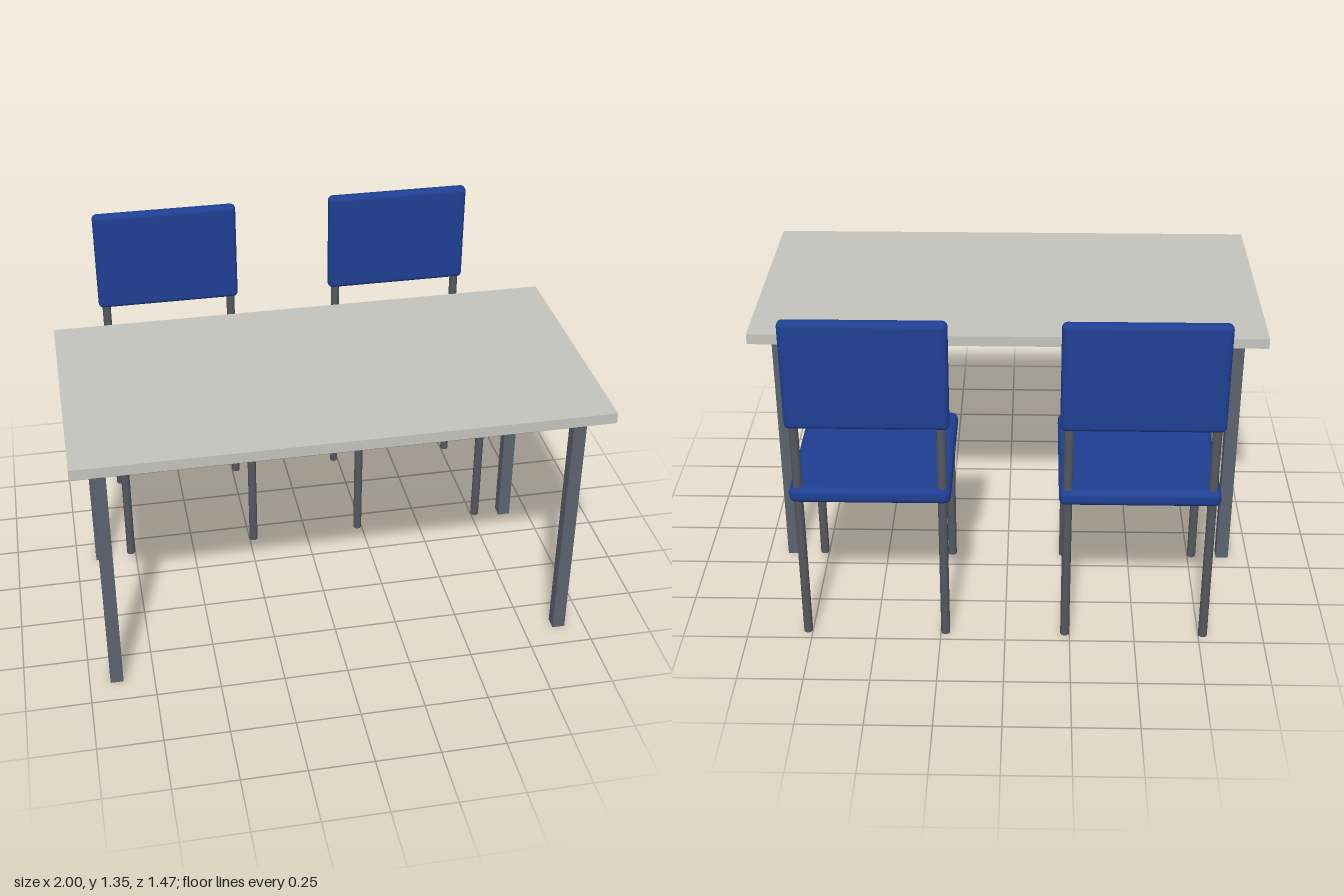
import * as THREE from 'three';
import { RoundedBoxGeometry } from 'three/addons/geometries/RoundedBoxGeometry.js';

const material = (name, color) => {
  const m = new THREE.MeshStandardMaterial({ color });
  m.name = name;
  return m;
};

export function createModel() {
  const tabletop = material('pale grey laminate', 0xc4c4be);
  const tableMetal = material('slate grey metal', 0x5c636f);
  const chairMetal = material('dark grey metal', 0x54585f);
  const fabric = material('blue upholstery', 0x1f3f92);

  const add = (parent, name, geometry, mat, x, y, z) => {
    const mesh = new THREE.Mesh(geometry, mat);
    mesh.name = name;
    mesh.position.set(x, y, z);
    parent.add(mesh);
  };

  // Table: thin slab on four square legs
  const makeTable = () => {
    const table = new THREE.Group();
    table.name = 'table';
    add(table, 'tableTop', new THREE.BoxGeometry(2, 0.042, 1), tabletop, 0, 1.05, 0);
    const legGeometry = new THREE.BoxGeometry(0.05, 1.03, 0.05);
    for (const sx of [-1, 1])
      for (const sz of [-1, 1])
        add(table, 'tableLeg', legGeometry, tableMetal, sx * 0.895, 0.515, sz * 0.391);
    return table;
  };

  // Chair: padded seat and back on round tubes; the rear tubes carry the back
  const makeChair = () => {
    const chair = new THREE.Group();
    chair.name = 'chair';
    add(chair, 'seat', new RoundedBoxGeometry(0.6, 0.064, 0.6, 4, 0.025), fabric, 0, 0.637, 0);
    add(chair, 'backrest', new RoundedBoxGeometry(0.6, 0.43, 0.05, 4, 0.02), fabric, 0, 1.135, -0.27);
    const tube = (height) => new THREE.CylinderGeometry(0.0175, 0.0175, height, 16);
    const frontLeg = tube(0.62);
    const rearLeg = tube(0.95);
    for (const sx of [-1, 1]) {
      add(chair, 'frontLeg', frontLeg, chairMetal, sx * 0.268, 0.31, 0.268);
      add(chair, 'rearLeg', rearLeg, chairMetal, sx * 0.268, 0.475, -0.268);
    }
    return chair;
  };

  const model = new THREE.Group();
  model.name = 'tableWithChairs';

  const table = makeTable();
  table.position.z = 0.235;
  model.add(table);

  // Two chairs side by side behind the table
  for (const x of [-0.5, 0.5]) {
    const chair = makeChair();
    chair.position.set(x, 0, -0.432);
    model.add(chair);
  }
  return model;
}
